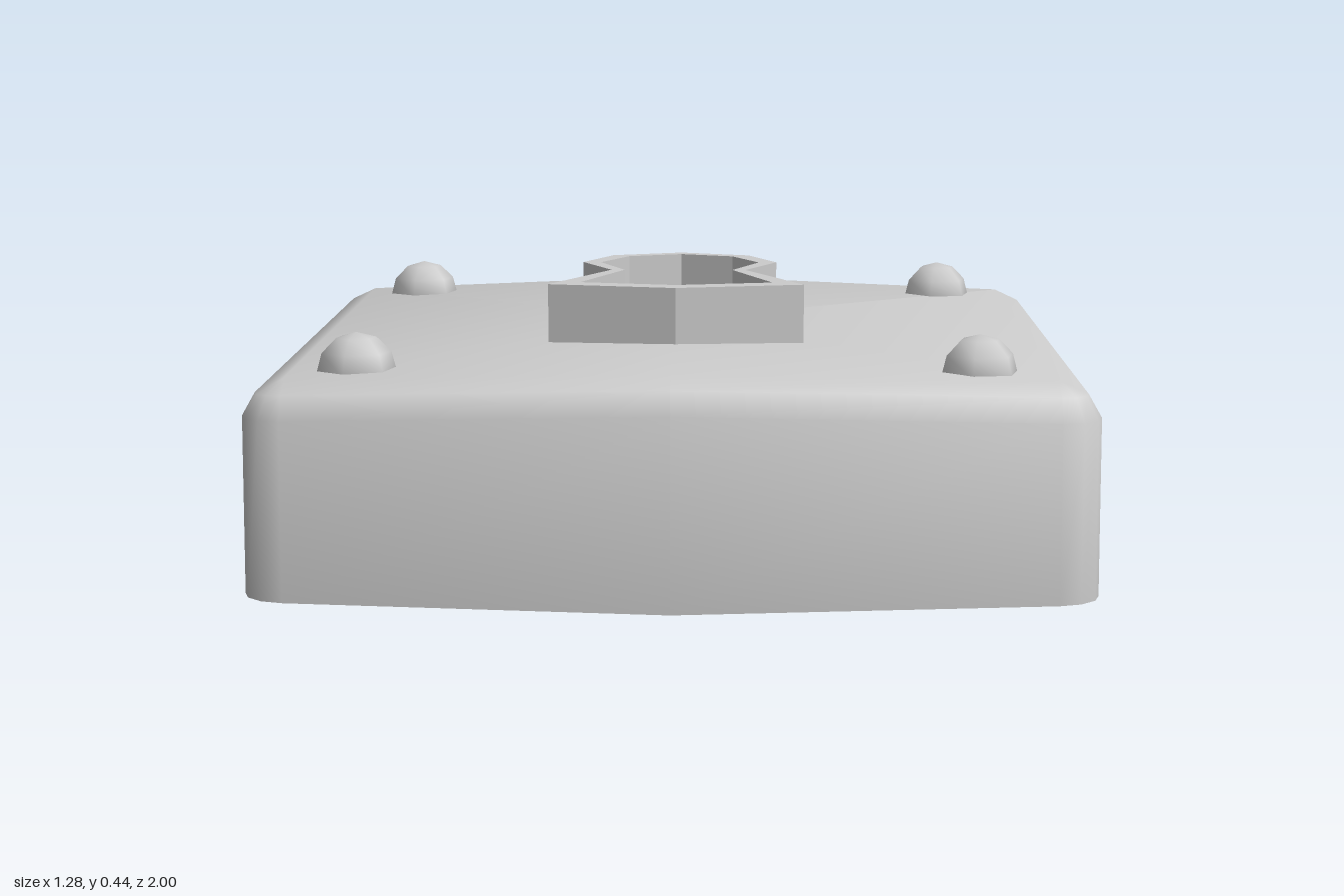
import * as THREE from 'three';
import { toCreasedNormals } from 'three/addons/utils/BufferGeometryUtils.js';

const grey = new THREE.MeshStandardMaterial({ color: 0xcccccc, side: THREE.DoubleSide });

function add(group, name, geometry) {
  const mesh = new THREE.Mesh(geometry, grey);
  mesh.name = name;
  group.add(mesh);
  return mesh;
}

// Skin closed rings of [x, y, z] points; an optional centre point caps the last ring
function loft(rings, cap) {
  const n = rings[0].length;
  const points = rings.flat();
  const index = [];
  for (let r = 0; r < rings.length - 1; r++) {
    for (let i = 0; i < n; i++) {
      const a = r * n + i, b = r * n + (i + 1) % n;
      index.push(a, a + n, b, b, a + n, b + n);
    }
  }
  if (cap) {
    const base = (rings.length - 1) * n;
    for (let i = 0; i < n; i++) index.push(points.length, base + (i + 1) % n, base + i);
    points.push(cap);
  }
  const geometry = new THREE.BufferGeometry();
  geometry.setAttribute('position', new THREE.Float32BufferAttribute(points.flat(), 3));
  geometry.setIndex(index);
  geometry.computeVertexNormals();
  return geometry;
}

// Body outline with rounded corners and a peaked back edge, shrunk by inset
function bodyRing(inset, heightAt) {
  const radius = 0.065 - inset;
  const half = [];
  const corner = (z, from, to) => {
    for (let i = 0; i <= 3; i++) {
      const a = THREE.MathUtils.degToRad(from + (to - from) * i / 3);
      half.push([0.575 + radius * Math.cos(a), z + radius * Math.sin(a)]);
    }
  };
  corner(-0.257, -78, 0);
  corner(0.92, 0, 89);
  const mirrored = half.map(([x, z]) => [-x, z]).reverse();
  const outline = [[0, -0.44 + inset], ...half, [0, 0.997 - inset], ...mirrored];
  return outline.map(([x, z]) => [x, heightAt(Math.abs(x) / 0.64), z]);
}

// Symmetric keyhole outline from its right half, given as [x, z]
function keyholePoints(half) {
  const left = half.slice(1, -1).map(([x, z]) => [-x, z]).reverse();
  return [...half, ...left].map(([x, z]) => new THREE.Vector2(x, -z));
}

export function createModel() {
  const group = new THREE.Group();
  group.name = 'padlock';

  // Body: hollow shell, open underneath, slightly crowned across its width
  const rings = [bodyRing(0, s => 0.015 * s)];
  for (const [inset, y] of [[0, 0.285], [0.02, 0.32], [0.06, 0.338]]) {
    rings.push(bodyRing(inset, s => y + 0.012 * (1 - s)));
  }
  add(group, 'body', toCreasedNormals(loft(rings, [0, 0.35, 0.28]), 0.8));

  // Shackle: six-sided tube between outer and inner bends [outer x, z, inner x, z]
  const bends = [
    [-0.50, -0.31, -0.24, -0.35],
    [-0.47, -0.59, -0.23, -0.51],
    [-0.35, -0.88, -0.17, -0.67],
    [-0.11, -1.00, -0.06, -0.73],
    [0.15, -0.985, 0.07, -0.73],
    [0.38, -0.84, 0.18, -0.66],
    [0.47, -0.54, 0.225, -0.48],
    [0.485, -0.31, 0.225, -0.35],
  ];
  const tube = bends.map(([ox, oz, ix, iz]) => Array.from({ length: 6 }, (_, i) => {
    const a = -i * Math.PI / 3;
    const t = (1 + Math.cos(a)) / 2;
    return [ix + (ox - ix) * t, 0.157 + 0.135 * Math.sin(a), iz + (oz - iz) * t];
  }));
  add(group, 'shackle', loft(tube));

  // Keyhole: raised rim around the opening
  const rim = new THREE.Shape(keyholePoints([
    [0, 0.053], [0.118, 0.1], [0.165, 0.213], [0.112, 0.333], [0.205, 0.547], [0, 0.597],
  ]));
  rim.holes.push(new THREE.Path(keyholePoints([
    [0, 0.08], [0.09, 0.117], [0.135, 0.215], [0.09, 0.333], [0.155, 0.517], [0, 0.555],
  ])));
  const rimGeometry = new THREE.ExtrudeGeometry(rim, { depth: 0.095, bevelEnabled: false });
  rimGeometry.rotateX(-Math.PI / 2);
  add(group, 'keyholeRim', rimGeometry).position.y = 0.345;

  // Rivets: low domes near the four corners
  const dome = new THREE.SphereGeometry(0.062, 6, 3, 0.3, Math.PI * 2, 0, Math.PI / 2);
  for (const [x, z] of [[-0.48, -0.19], [0.465, -0.185], [-0.48, 0.82], [0.465, 0.83]]) {
    add(group, 'rivet', dome).position.set(x, 0.336, z);
  }
  return group;
}
